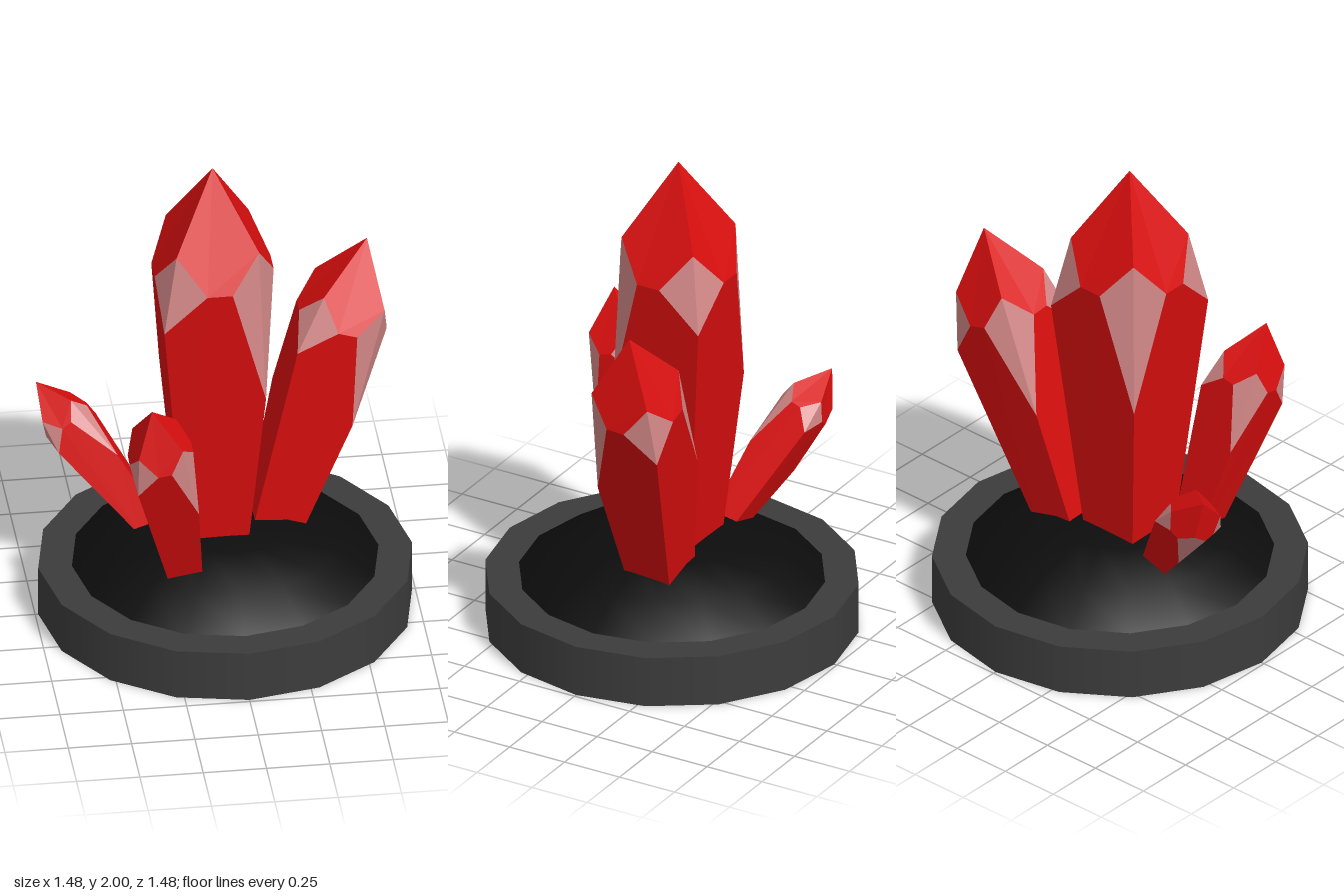
import * as THREE from 'three';

const stone = new THREE.MeshStandardMaterial({ name: 'darkGrey', color: 0x3c3c3c });
const soil = new THREE.MeshStandardMaterial({ name: 'black', color: 0x0c0c0c });
const red = new THREE.MeshStandardMaterial({ name: 'red', color: 0xd80e0e });
const pink = new THREE.MeshStandardMaterial({ name: 'palePink', color: 0xd48888 });

// Flat-shaded geometry from convex polygons, each cut as a fan
function polygons(list) {
  const points = [];
  for (const p of list) {
    for (let i = 1; i < p.length - 1; i++) points.push(p[0], p[i], p[i + 1]);
  }
  const geometry = new THREE.BufferGeometry().setFromPoints(points);
  geometry.computeVertexNormals();
  return geometry;
}

// Square crystal, widening upward, with a pointed tip and a kite facet cut off each corner
function crystalGeometries() {
  const corners = [0, 1, 2, 3].map((k) => {
    const at = (x, y, z) =>
      new THREE.Vector3(x, y, z).applyAxisAngle(new THREE.Vector3(0, 1, 0), (k * Math.PI) / 2);
    return {
      base: at(0.122, 0, 0.122),
      low: k % 2 === 0 ? at(0.187, 0.735, 0.187) : at(0.218, 1.085, 0.218),
      midA: at(0.05, 1.25, 0.235),
      midB: at(0.235, 1.25, 0.05),
      high: at(0.163, 1.397, 0.163),
    };
  });
  const tip = new THREE.Vector3(0, 1.7, 0);
  const body = [corners.map((c) => c.base).reverse()];
  const facets = [];
  corners.forEach((c, k) => {
    const n = corners[(k + 1) % 4];
    body.push([c.base, n.base, n.low, n.midA, c.midB, c.low]);
    body.push([c.midB, n.midA, n.high, tip, c.high]);
    facets.push([c.low, c.midB, c.high, c.midA]);
  });
  return { body: polygons(body), facets: polygons(facets) };
}

export function createModel() {
  const model = new THREE.Group();
  model.name = 'crystalCluster';

  const add = (parent, name, geometry, material) => {
    const mesh = new THREE.Mesh(geometry, material);
    mesh.name = name;
    parent.add(mesh);
    return mesh;
  };

  // Round plinth
  add(model, 'plinth', new THREE.CylinderGeometry(0.738, 0.738, 0.212, 16), stone).position.y = 0.106;

  // Low mound on the plinth
  const profile = [[0.608, 0.21], [0.455, 0.31], [0.25, 0.375], [0, 0.388]];
  add(model, 'mound',
    new THREE.LatheGeometry(profile.map(([r, y]) => new THREE.Vector2(r, y)), 16), soil);

  // Crystals: foot, tip and scale
  const { body, facets } = crystalGeometries();
  const crystals = [
    ['mainCrystal', [-0.05, 0.3, 0], [-0.05, 2, 0], 1],
    ['leftCrystal', [0.19, 0.29, -0.066], [0.58, 1.54, -0.148], 0.77],
    ['frontCrystal', [-0.195, 0.314, 0.242], [-0.35, 1.19, 0.47], 0.54],
    ['smallCrystal', [-0.283, 0.327, -0.081], [-0.705, 0.875, -0.31], 0.43],
  ];
  for (const [name, foot, tip, scale] of crystals) {
    const crystal = new THREE.Group();
    crystal.name = name;
    crystal.position.set(...foot);
    const direction = new THREE.Vector3(...tip).sub(crystal.position).normalize();
    crystal.quaternion.setFromUnitVectors(new THREE.Vector3(0, 1, 0), direction);
    crystal.scale.setScalar(scale);
    add(crystal, 'crystalBody', body, red);
    add(crystal, 'cornerFacets', facets, pink);
    model.add(crystal);
  }
  return model;
}
